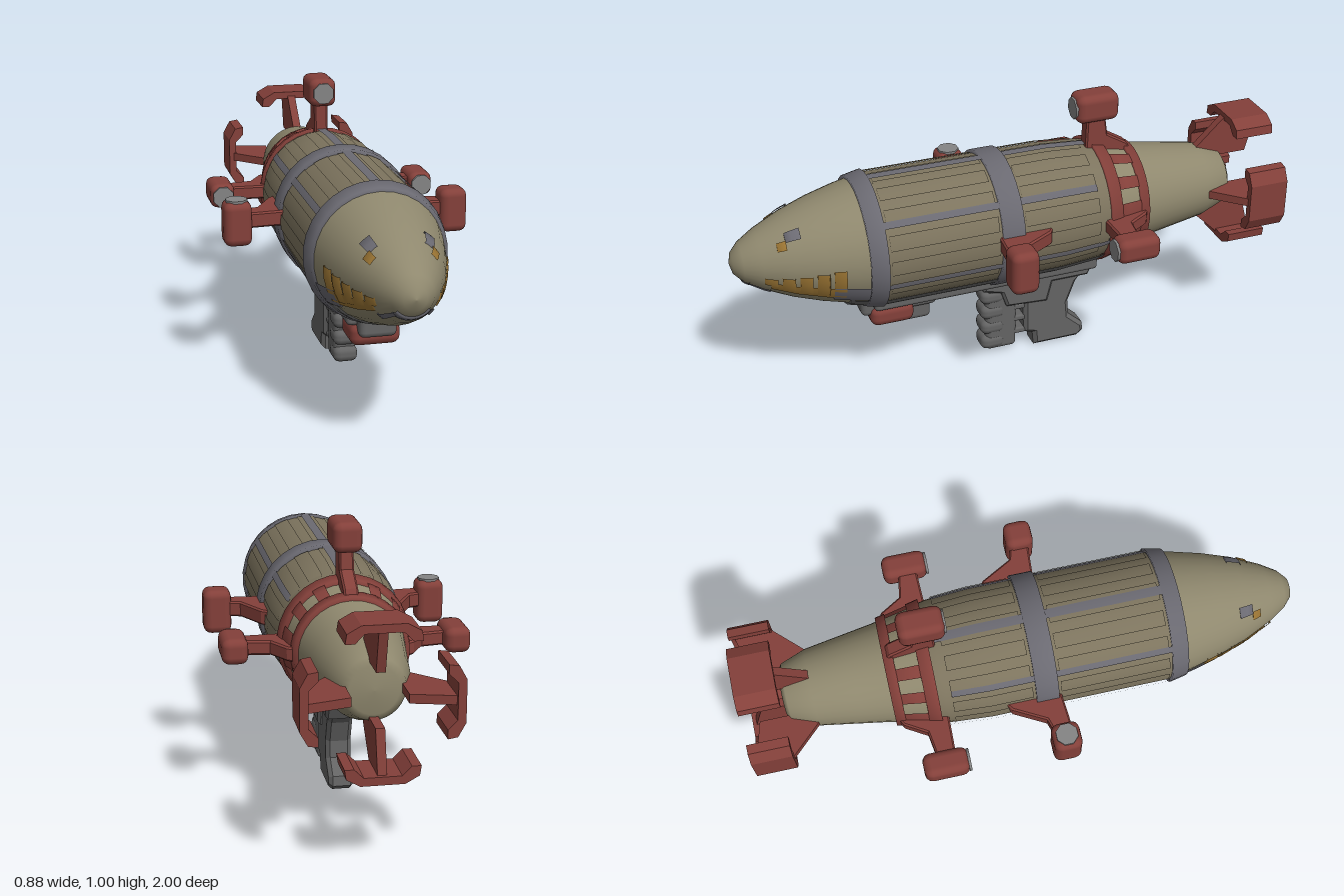
import * as THREE from 'three';
import { RoundedBoxGeometry } from 'three/addons/geometries/RoundedBoxGeometry.js';

const material = (name, color) => {
  const m = new THREE.MeshStandardMaterial({ color });
  m.name = name;
  return m;
};

// Hull radius along its axis: [z, radius]
const PROFILE = [
  [-0.86, 0], [-0.855, 0.08], [-0.84, 0.105], [-0.75, 0.138], [-0.6, 0.162], [-0.5, 0.178], [-0.4, 0.2],
  [-0.3, 0.222], [-0.15, 0.233], [0.5, 0.233], [0.6, 0.213], [0.7, 0.187], [0.8, 0.153], [0.9, 0.107],
  [0.96, 0.07], [0.99, 0.038], [1, 0],
];
const AXIS_Y = 0.575;
const DEG = Math.PI / 180;

function radiusAt(z) {
  for (let i = 1; i < PROFILE.length; i++) {
    const [z0, r0] = PROFILE[i - 1], [z1, r1] = PROFILE[i];
    if (z <= z1) return r0 + (r1 - r0) * (z - z0) / (z1 - z0);
  }
  return 0;
}

export function createModel() {
  const group = new THREE.Group();
  group.name = 'airship';
  const tan = material('tan skin', 0x8f886e);
  const brown = material('brown plating', 0x7d745e);
  const slate = material('slate bands', 0x6b6a72);
  const gray = material('gray metal', 0x646464);
  const pale = material('pale gray intake', 0x858585);
  const red = material('dull red', 0x84403a);
  const gold = material('gold paint', 0x9a7433);
  slate.side = gold.side = THREE.DoubleSide;

  function add(name, geometry, mat, parent = group) {
    const mesh = new THREE.Mesh(geometry, mat);
    mesh.name = name;
    parent.add(mesh);
    return mesh;
  }

  // Surface following the hull; angles in degrees from straight down towards +x
  function skin(name, z0, z1, mat, off = 0, a0 = 0, a1 = 360) {
    const zs = [z0, ...PROFILE.map(p => p[0]).filter(z => z > z0 && z < z1), z1];
    const pts = zs.map(z => new THREE.Vector2(radiusAt(z) + off, z));
    if (off) {
      pts.unshift(new THREE.Vector2(radiusAt(z0) - 0.01, z0));
      pts.push(new THREE.Vector2(radiusAt(z1) - 0.01, z1));
    }
    const segments = Math.max(2, Math.round((a1 - a0) / 12));
    const geo = new THREE.LatheGeometry(pts, segments, a0 * DEG, (a1 - a0) * DEG);
    geo.rotateX(Math.PI / 2).translate(0, AXIS_Y, 0);
    return add(name, geo, mat);
  }
  // Same patch on both sides
  function skinPair(name, z0, z1, mat, off, a0, a1) {
    skin(name + 'Left', z0, z1, mat, off, a0, a1);
    skin(name + 'Right', z0, z1, mat, off, 360 - a1, 360 - a0);
  }

  // Plate drawn in (z, y) with its thickness across x
  function plate(name, points, width, mat, parent, bevel = 0) {
    const shape = new THREE.Shape(points.map(([z, y]) => new THREE.Vector2(z, y)));
    const depth = width - 2 * bevel;
    const geo = new THREE.ExtrudeGeometry(shape, {
      depth, bevelEnabled: bevel > 0, bevelSize: bevel, bevelThickness: bevel, bevelOffset: -bevel, bevelSegments: 1,
    });
    geo.translate(0, 0, -depth / 2).rotateY(-Math.PI / 2);
    return add(name, geo, mat, parent);
  }

  function block(name, x0, x1, y0, y1, z0, z1, mat, radius = 0.02, parent = group) {
    const geo = new RoundedBoxGeometry(x1 - x0, y1 - y0, z1 - z0, 2, radius);
    geo.translate((x0 + x1) / 2, (y0 + y1) / 2, (z0 + z1) / 2);
    return add(name, geo, mat, parent);
  }

  // Hull
  skin('tail', -0.86, -0.33, tan);
  skin('body', -0.33, 0.53, brown);
  skin('nose', 0.53, 1, tan);
  skin('belly', -0.33, 0.62, gray, 0.007, -52, 52);
  block('keel', -0.1, 0.1, 0.325, 0.4, -0.33, 0.52, gray, 0.015);

  // Raised plating between the bands
  for (let a = 62; a < 180; a += 22) {
    skinPair('rearPanel', -0.28, 0, brown, 0.005, a, a + 13);
    skinPair('frontPanel', 0.1, 0.49, brown, 0.005, a, a + 13);
  }

  // Slate rings and lengthwise seams
  skin('frontRing', 0.5, 0.56, slate, 0.012);
  skin('middleRing', 0.01, 0.09, slate, 0.014);
  skin('topSeam', -0.32, 0.5, slate, 0.009, 176, 184);
  skinPair('upperSeam', -0.28, 0.5, slate, 0.008, 125, 131);
  skinPair('lowerSeam', -0.32, 0.5, slate, 0.008, 70, 75);
  skinPair('noseEdge', 0.56, 0.68, slate, 0.006, 52, 72);

  // Red lattice collar
  skin('collarFront', -0.37, -0.325, red, 0.014);
  skin('collarRear', -0.485, -0.45, red, 0.014);
  for (let i = 0; i < 14; i++) {
    const a = i * 360 / 14;
    skin('collarBar', -0.455, -0.365, red, 0.012, a - 6, a + 6);
  }

  // Painted face on the nose
  skinPair('eye', 0.77, 0.82, slate, 0.006, 134, 148);
  skinPair('eyeGlint', 0.82, 0.85, gold, 0.006, 124, 137);
  for (let i = 0; i < 5; i++) {
    const z = 0.64 + i * 0.055;
    skinPair('tooth', z, z + 0.04, gold, 0.006, 58 + i * 2, 93 - i * 3);
  }
  skinPair('jaw', 0.66, 0.88, gold, 0.005, 56, 72);
  skin('mouth', 0.945, 0.965, slate, 0.005, -50, 50);
  skinPair('mouthCorner', 0.88, 0.95, slate, 0.005, 38, 50);

  // Four tail fins with bent end plates
  for (let i = 0; i < 4; i++) {
    const fin = new THREE.Group();
    fin.name = 'tailFin';
    fin.position.y = AXIS_Y;
    fin.rotation.z = i * Math.PI / 2;
    group.add(fin);
    plate('finBlade', [[-0.7, 0.09], [-0.95, 0.09], [-0.99, 0.245], [-0.86, 0.245]], 0.03, red, fin);
    const profile = [[-0.12, 0.2], [-0.09, 0.2], [-0.06, 0.23], [0.06, 0.23], [0.09, 0.2], [0.12, 0.2],
      [0.115, 0.232], [0.07, 0.257], [-0.07, 0.257], [-0.115, 0.232]];
    const shape = new THREE.Shape(profile.map(p => new THREE.Vector2(...p)));
    const geo = new THREE.ExtrudeGeometry(shape, { depth: 0.145, bevelEnabled: false });
    add('finEndPlate', geo.translate(0, 0, -1), red, fin);
  }

  // Engine pods on struts, built pointing up then turned outward
  function engine(name, turn, y, strut, thickness, size, intake) {
    const g = new THREE.Group();
    g.name = name;
    g.position.y = y;
    g.rotation.z = turn;
    group.add(g);
    plate('strut', strut, thickness, red, g, 0.006);
    block('pod', ...size, red, 0.028, g);
    if (intake) {
      const [x0, x1, y0, y1, z0, z1] = size;
      const disc = new THREE.CylinderGeometry(0.04, 0.04, 0.009, 8);
      disc.rotateY(Math.PI / 8);
      if (intake === 'front') disc.rotateX(Math.PI / 2).translate((x0 + x1) / 2, (y0 + y1) / 2, z1);
      else disc.rotateZ(Math.PI / 2).translate(x1, (y0 + y1) / 2, (z0 + z1) / 2);
      add('intake', disc, pale, g);
    }
  }
  const rearStrut = [[-0.48, 0.18], [-0.46, 0.215], [-0.385, 0.26], [-0.37, 0.36], [-0.305, 0.36], [-0.3, 0.18]];
  const frontStrut = [[-0.1, 0.22], [-0.08, 0.25], [0.03, 0.31], [0.045, 0.36], [0.11, 0.36], [0.1, 0.22]];
  engine('topEngine', 0, AXIS_Y, rearStrut, 0.05, [-0.05, 0.05, 0.32, 0.425, -0.42, -0.26], 'front');
  for (const side of [1, -1]) {
    const turn = -side * Math.PI / 2, label = side > 0 ? 'Left' : 'Right';
    engine('rearEngine' + label, turn, AXIS_Y, rearStrut, 0.05, [-0.045, 0.045, 0.335, 0.425, -0.425, -0.265], 'front');
    engine('frontEngine' + label, turn, 0.59, frontStrut, 0.055,
      [side > 0 ? -0.07 : -0.09, side > 0 ? 0.09 : 0.07, 0.34, 0.44, 0.03, 0.13], side < 0 ? 'top' : null);
  }

  // Chin pod
  block('chinMount', -0.05, 0.05, 0.23, 0.35, 0.3, 0.42, gray);
  block('chinFairing', -0.065, 0.065, 0.29, 0.37, 0.28, 0.56, gray);
  block('chinPod', -0.087, 0.087, 0.25, 0.33, 0.37, 0.53, red, 0.03);

  // Lower grip assembly
  plate('gripRoof', [[0.11, 0.35], [0.1, 0.29], [0.03, 0.27], [0.01, 0.21], [-0.15, 0.2], [-0.17, 0.28], [-0.31, 0.28],
    [-0.35, 0.36]], 0.12, gray, group, 0.01);
  plate('rearGrip', [[-0.06, 0.3], [-0.065, 0.07], [-0.1, 0.06], [-0.105, 0.005], [-0.28, 0.005], [-0.305, 0.025],
    [-0.3, 0.06], [-0.245, 0.11], [-0.24, 0.17], [-0.27, 0.25], [-0.31, 0.3]], 0.09, gray, group, 0.014);
  block('frontGrip', -0.04, 0.04, 0.02, 0.3, -0.035, 0.085, gray);
  for (let i = 0; i < 4; i++) {
    block('gripRidge', -0.045, 0.045, 0.025 + i * 0.065, 0.085 + i * 0.065, 0.01, 0.103, gray, 0.025);
  }
  for (const y of [0.08, 0.135, 0.185]) block('gripLink', -0.035, 0.035, y - 0.012, y + 0.012, -0.08, -0.02, gray, 0.008);

  return group;
}
